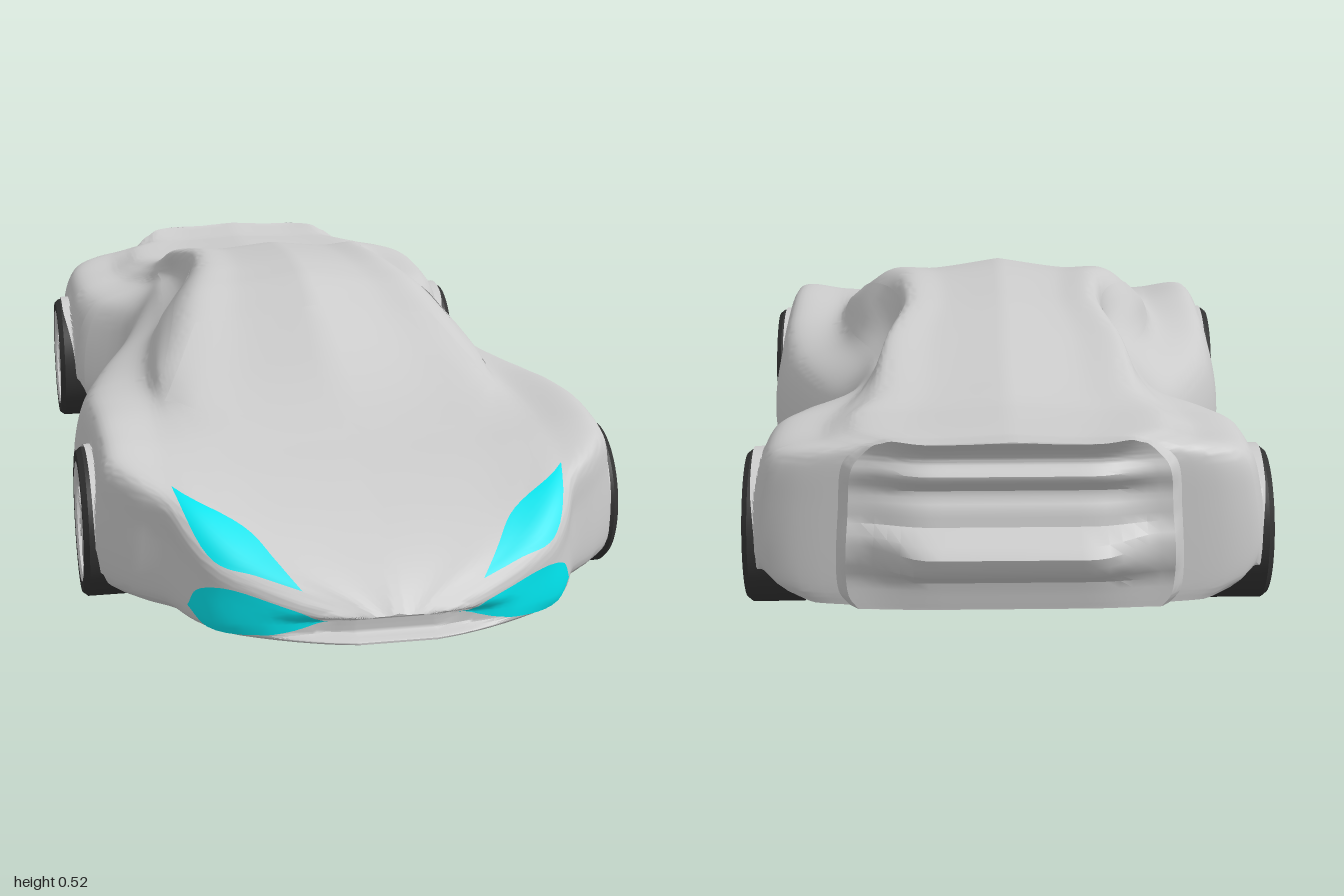
import * as THREE from 'three';
import { toCreasedNormals } from 'three/addons/utils/BufferGeometryUtils.js';

const { lerp, smoothstep, clamp } = THREE.MathUtils;
const V = (x, y, z) => new THREE.Vector3(x, y, z);
const grey = new THREE.MeshStandardMaterial({ color: 0xcccccc });
const sheet = new THREE.MeshStandardMaterial({ color: 0xcccccc, side: THREE.DoubleSide });
const lamp = new THREE.MeshStandardMaterial({ color: 0x00e5ee, side: THREE.DoubleSide });
const rubber = new THREE.MeshStandardMaterial({ color: 0x333333 });

// Smooth monotone curve through [position, value] keys
function keyed(keys) {
  const d = keys.slice(1).map((k, i) => (k[1] - keys[i][1]) / (k[0] - keys[i][0]));
  const m = keys.map((_, i) => {
    if (i === 0) return d[0];
    if (i === d.length) return d[i - 1];
    return d[i - 1] * d[i] <= 0 ? 0 : 2 * d[i - 1] * d[i] / (d[i - 1] + d[i]);
  });
  return p => {
    p = clamp(p, keys[0][0], keys[keys.length - 1][0]);
    let i = 0;
    while (i < d.length - 1 && p > keys[i + 1][0]) i++;
    const h = keys[i + 1][0] - keys[i][0], t = (p - keys[i][0]) / h, s = 1 - t;
    return keys[i][1] * (1 + 2 * t) * s * s + keys[i + 1][1] * t * t * (3 - 2 * t)
      + h * (m[i] * t * s * s - m[i + 1] * t * t * s);
  };
}

// Character lines of the body along z
const TAIL = -.87, NOSE = .998;
const topY = keyed([[-.87, .388], [-.7, .392], [-.6, .41], [-.5, .44], [-.4, .475], [-.25, .505], [-.05, .52], [.05, .515],
  [.15, .487], [.3, .422], [.45, .358], [.58, .316], [.7, .287], [.8, .25], [.9, .197], [.96, .155], [.998, .12]]);
const roofX = keyed([[-.87, .22], [-.8, .27], [-.7, .28], [-.6, .24], [-.45, .235], [-.25, .195], [-.05, .21], [.05, .235],
  [.2, .27], [.4, .3], [.58, .25], [.8, .22], [.9, .18], [.998, .04]]);
const roofDrop = keyed([[-.87, .006], [-.6, .016], [-.25, .012], [-.05, .016], [.05, .024], [.15, .03], [.3, .03], [.42, .014],
  [.58, -.005], [.8, -.006], [.998, .004]]);
const beltX = keyed([[-.87, .26], [-.84, .31], [-.8, .335], [-.7, .34], [-.6, .325], [-.5, .285], [-.42, .27], [-.25, .28], [0, .335],
  [.2, .36], [.4, .365], [.58, .37], [.7, .37], [.8, .345], [.9, .28], [.998, .055]]);
const beltY = keyed([[-.87, .37], [-.7, .352], [-.6, .351], [-.5, .365], [-.4, .375], [-.25, .36], [0, .345], [.2, .337], [.4, .336],
  [.58, .326], [.7, .304], [.8, .268], [.86, .232], [.92, .183], [.998, .113]]);
const shoulderY = keyed([[-.87, .34], [-.7, .332], [-.6, .329], [-.5, .318], [-.4, .305], [-.2, .29], [0, .29], [.2, .305],
  [.35, .326], [.5, .338], [.6, .332], [.7, .303], [.8, .255], [.9, .185], [.998, .108]]);
const halfWidth = keyed([[-.87, .31], [-.862, .36], [-.84, .43], [-.81, .458], [-.75, .47], [-.6, .472], [-.5, .45], [-.45, .385],
  [-.42, .347], [-.39, .334], [-.35, .346], [-.2, .4], [0, .47], [.1, .495], [.2, .505], [.65, .5], [.73, .445], [.78, .39],
  [.85, .355], [.9, .315], [.95, .225], [.985, .13], [.998, .075]]);
// Rear fascia depth by height: spoiler lip, lamp fins, bumper ledge
const rearZ = keyed([[.07, -.9], [.13, -.91], [.15, -.97], [.21, -.998], [.228, -.93], [.265, -.92], [.29, -.905],
  [.33, -.945], [.355, -.925], [.385, -.965]]);

const AXLES = [.51, -.65], AXLE_Y = .145, ARCH = .15, FLARE = .02;
const floorY = z => z < -.808 ? lerp(.11, .068, clamp((-.808 - z) / .05, 0, 1)) : .065;
// Underside with full-width wheel wells
function underY(z) {
  const d = Math.min(...AXLES.map(a => Math.abs(z - a)));
  if (d < ARCH) return AXLE_Y + Math.sqrt(ARCH ** 2 - d ** 2);
  return lerp(AXLE_Y, floorY(z), Math.min((d - ARCH) / FLARE, 1));
}

// Half of a cross-section, from roof centre down to floor centre
function halfSection(z) {
  const top = topY(z), rx = roofX(z), ry = top - roofDrop(z), bx = beltX(z), by = beltY(z);
  const w = halfWidth(z), sy = shoulderY(z), f = floorY(z);
  // Side glass is hollow towards the back and full towards the front
  const dip = .018 * smoothstep(z, -.48, -.38) * (1 - smoothstep(z, -.2, 0))
    - .012 * smoothstep(z, -.15, .05) * (1 - smoothstep(z, .25, .4));
  const shoulderX = lerp(bx, w, lerp(.74, .81, smoothstep(z, .1, .3)));
  const curve = new THREE.CatmullRomCurve3([
    V(0, top, z), V(rx * .58, top - roofDrop(z) * .75 - .002, z), V(rx, ry, z),
    V((rx + bx) / 2 - dip, (ry + by) / 2 - dip * .6, z), V(bx, by, z), V(shoulderX, sy, z),
    V(w * .995, Math.min(.25, f + .68 * (sy - f)), z), V(w, f + .1 * (sy - f), z), V(w * .94, f, z)]);
  const pts = [];
  for (let i = 0; i <= 72; i++) pts.push(curve.getPoint(i / 72));
  for (let i = 1; i <= 4; i++) pts.push(V(w * .94 * (1 - i / 4), f, z));
  const under = underY(z);
  // Intake hollow across the nose, under the edge of the hood
  pts.forEach(p => {
    p.set(Math.max(0, p.x), Math.max(p.y, under), z - intake(p.x, p.y) * smoothstep(z, .88, .95));
  });
  return pts;
}
const intake = (x, y) => .03 * smoothstep(y, .068, .078) * (1 - smoothstep(y, .1, .116)) * (1 - smoothstep(Math.abs(x), .1, .24));

const flip = p => V(-p.x, p.y, p.z);
const loop = half => [...half, ...half.slice(0, -1).reverse().map(flip)];

// Mesh surface from rows of points
function gridGeometry(grids) {
  const pos = [], index = [];
  for (const rows of grids) {
    const base = pos.length / 3, n = rows[0].length;
    rows.forEach(r => r.forEach(p => pos.push(p.x, p.y, p.z)));
    for (let r = 0; r < rows.length - 1; r++) for (let i = 0; i < n - 1; i++) {
      const a = base + r * n + i, b = a + 1, d = a + n, c = d + 1;
      index.push(a, d, c, a, c, b);
    }
  }
  const g = new THREE.BufferGeometry();
  g.setAttribute('position', new THREE.Float32BufferAttribute(pos, 3));
  g.setIndex(index);
  return g;
}

function makeBody() {
  const stations = [.98, .987, .992, -.866, -.862, -.858];
  for (let i = 0; i <= 120; i++) stations.push(lerp(TAIL, NOSE, i / 120));
  for (const a of AXLES) {
    for (let k = 0; k <= 24; k++) stations.push(a + ARCH * Math.cos(k * Math.PI / 24));
    stations.push(a - ARCH - FLARE, a + ARCH + FLARE);
  }
  stations.sort((a, b) => a - b);
  const halves = stations.map(halfSection);
  // Rear fascia: the last section pushed back to the fascia depth, fading towards the corners
  const push = (p, t) => {
    const depth = lerp(rearZ(p.y), -.89, .8 * smoothstep(Math.abs(p.x), .15, .3));
    return V(p.x * (1 - .06 * t), p.y + .014 * t * smoothstep(p.y, .35, .385), lerp(TAIL, depth, t));
  };
  const tail = [1, .75, .5, .25].map(t => halves[0].map(p => push(p, t)));
  const cols = Array.from({ length: 25 }, (_, j) => j / 12 - 1);
  const rearCap = halves[0].map(p => cols.map(s => push(V(-p.x * s, p.y, p.z), 1)));
  const frontCap = halves[halves.length - 1].map(p => cols.map(s => V(p.x * s, p.y, p.z)));
  return toCreasedNormals(gridGeometry([[...tail, ...halves].map(loop), rearCap, frontCap]), .7);
}

// Thin panel laid on the body: two edge lines, blended and projected along dir
function panel(body, edgeA, edgeB, dir, material, name, lift) {
  const curves = [edgeA, edgeB].map(e => new THREE.CatmullRomCurve3(e));
  const ray = new THREE.Raycaster(), rows = [];
  for (let r = 0; r <= 8; r++) {
    const row = [];
    for (let i = 0; i <= 20; i++) {
      const p = curves[0].getPoint(i / 20).lerp(curves[1].getPoint(i / 20), r / 8);
      ray.set(p.clone().addScaledVector(dir, -2), dir);
      const hit = ray.intersectObject(body)[0];
      row.push(hit ? hit.point.clone().addScaledVector(hit.face.normal, lift) : p);
    }
    rows.push(row);
  }
  const g = gridGeometry([rows]);
  g.computeVertexNormals();
  const mesh = new THREE.Mesh(g, material);
  mesh.name = name;
  return mesh;
}

// Wheel with its axis on y, outer face towards +y
function makeWheel(width) {
  const wheel = new THREE.Group(), h = width / 2;
  const add = (geo, mat, name) => {
    const m = new THREE.Mesh(geo, mat);
    m.name = name;
    wheel.add(m);
    return m;
  };
  const lathe = pts => toCreasedNormals(new THREE.LatheGeometry(pts.map(p => new THREE.Vector2(...p)), 48), .6);
  add(lathe([[.117, -h], [.137, -h], [.145, -h + .01], [.145, h - .01], [.137, h], [.117, h]]), rubber, 'tire');
  add(lathe([[.117, h], [.11, h - .004], [.108, h - .02], [.108, -h], [.117, -h]]), sheet, 'rim');
  add(new THREE.CylinderGeometry(.109, .109, .008, 40).translate(0, h - .04, 0), rubber, 'brakeDisc');
  add(new THREE.CylinderGeometry(.03, .036, .025, 24).translate(0, h - .018, 0), grey, 'hub');
  for (let i = 0; i < 20; i++) {
    const spoke = add(new THREE.BoxGeometry(.086, .012, .012).translate(.069, h - .014, 0), grey, 'spoke');
    spoke.rotation.y = (i + (i % 2 ? -.14 : .14)) * Math.PI / 10;
  }
  return wheel;
}

export function createModel() {
  const car = new THREE.Group();
  car.name = 'sportsCar';
  const body = new THREE.Mesh(makeBody(), grey);
  body.name = 'body';
  car.add(body);

  // Windscreen
  car.add(panel(body, [V(-.25, 0, .19), V(0, 0, .19), V(.25, 0, .19)],
    [V(-.34, 0, .4), V(-.2, 0, .555), V(0, 0, .585), V(.2, 0, .555), V(.34, 0, .4)], V(0, -1, 0), sheet, 'windscreen', .0015));

  for (const s of [1, -1]) {
    const side = s > 0 ? 'left' : 'right';
    const front = pts => pts.map(([x, y]) => V(s * x, y, 0));
    const flank = pts => pts.map(([z, y]) => V(0, y, z));
    // Headlights and lower lamps
    car.add(panel(body, front([[.165, .155], [.205, .197], [.245, .235], [.37, .29]]),
      front([[.165, .155], [.24, .178], [.315, .2], [.37, .29]]), V(0, 0, -1), lamp, side + 'Headlight', .003));
    car.add(panel(body, front([[.115, .104], [.2, .132], [.3, .155], [.34, .14], [.355, .105]]),
      front([[.115, .104], [.18, .085], [.24, .075], [.325, .076], [.355, .105]]), V(0, 0, -1), lamp, side + 'LowerLamp', .003));
    // Side window
    car.add(panel(body, flank([[.3, .375], [.15, .435], [-.05, .475], [-.3, .465], [-.45, .405]]),
      flank([[.3, .355], [.1, .36], [-.1, .365], [-.28, .375], [-.45, .395]]), V(-s, 0, 0), sheet, side + 'Window', .002));
    // Wheels
    [[AXLES[0], .385, .525, 'Front'], [AXLES[1], .375, .492, 'Rear']].forEach(([z, inner, outer, end]) => {
      const wheel = makeWheel(outer - inner);
      wheel.name = side + end + 'Wheel';
      wheel.rotation.z = -s * Math.PI / 2;
      wheel.position.set(s * (inner + outer) / 2, AXLE_Y, z);
      car.add(wheel);
    });
  }
  return car;
}
